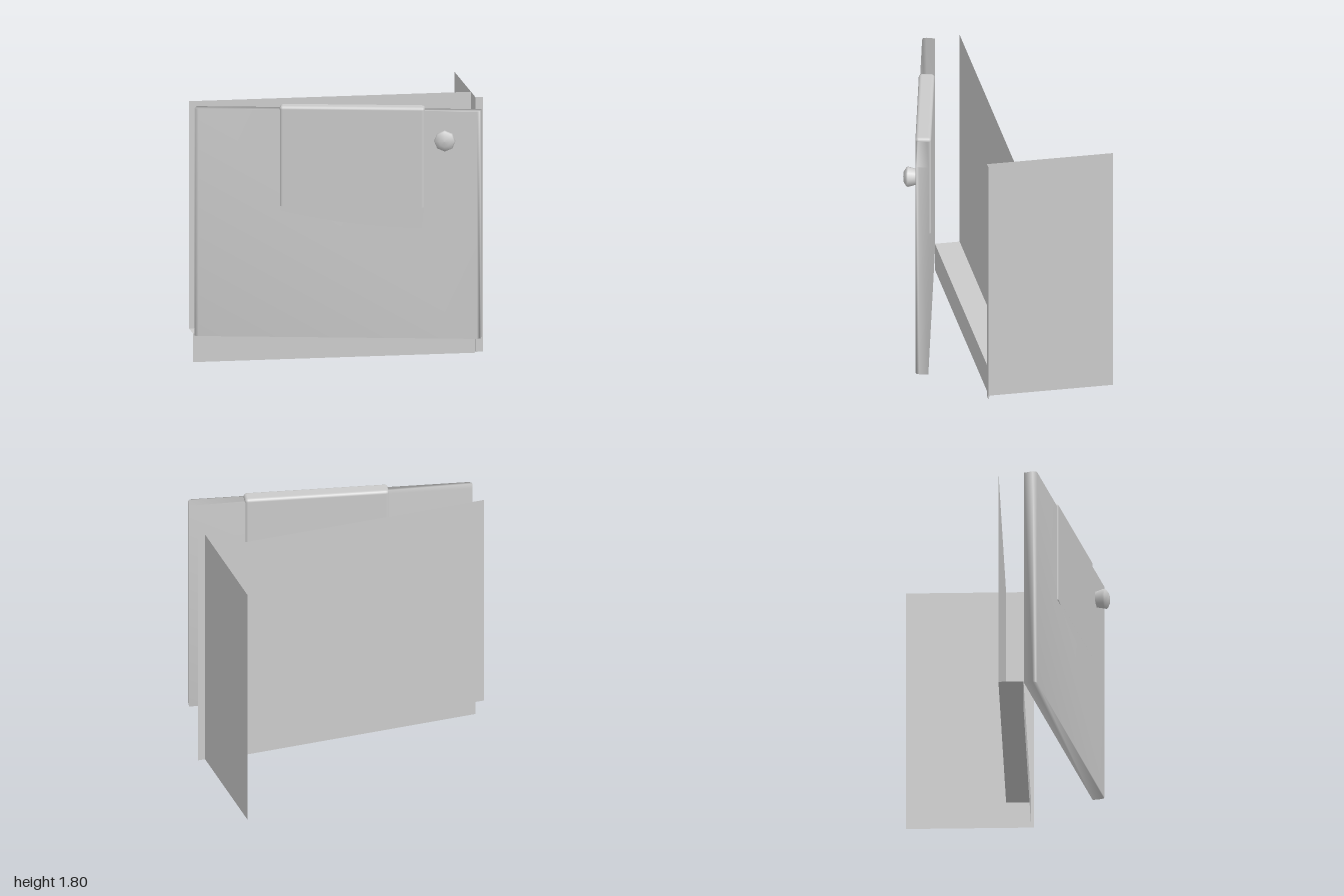
import * as THREE from 'three';
import { mergeVertices } from 'three/addons/utils/BufferGeometryUtils.js';
import { RoundedBoxGeometry } from 'three/addons/geometries/RoundedBoxGeometry.js';

const grey = new THREE.MeshStandardMaterial({ color: 0xcccccc, side: THREE.DoubleSide });

function addMesh(parent, name, geometry) {
  const mesh = new THREE.Mesh(geometry, grey);
  mesh.name = name;
  parent.add(mesh);
  return mesh;
}

// Share vertices so that normals run smoothly across the edges
function smooth(geometry) {
  geometry.deleteAttribute('normal');
  geometry.deleteAttribute('uv');
  const merged = mergeVertices(geometry, 1e-4);
  merged.computeVertexNormals();
  return merged;
}

// Thin upright panel facing +z
function panel(parent, name, x0, x1, y0, y1, z) {
  const mesh = addMesh(parent, name, new THREE.PlaneGeometry(x1 - x0, y1 - y0));
  mesh.position.set((x0 + x1) / 2, (y0 + y1) / 2, z);
  return mesh;
}

export function createModel() {
  const model = new THREE.Group();
  model.name = 'cupboardFront';

  // Cabinet: thin panels behind the door
  const cabinet = new THREE.Group();
  cabinet.name = 'cabinet';
  model.add(cabinet);
  const back = -0.016, front = 0.155, left = 0.948, edge = 0.173, rear = -0.7;
  panel(cabinet, 'backPanel', -1, left, 0.2, 1.78, back);
  panel(cabinet, 'plinth', -1, left, 0, 0.2, front);
  panel(cabinet, 'sideEdgeStrip', left, 1, 0.01, 1.78, edge);

  const shelf = addMesh(cabinet, 'bottomShelf', new THREE.PlaneGeometry(left + 1, front - back));
  shelf.rotation.x = -Math.PI / 2;
  shelf.position.set((left - 1) / 2, 0.2, (front + back) / 2);

  const side = addMesh(cabinet, 'sidePanel', new THREE.PlaneGeometry(edge - rear, 1.77));
  side.rotation.y = Math.PI / 2;
  side.position.set(left, 0.895, (edge + rear) / 2);

  // Door group, pivoted at the hinge and standing slightly open
  const door = new THREE.Group();
  door.name = 'openDoor';
  door.position.set(-0.976, 0, 0.158);
  door.rotation.y = -0.216;
  model.add(door);

  // Door leaf: plan outline with softened front corners, pulled upward
  const plan = new THREE.Shape([
    [0, 0], [1.943, 0], [1.943, 0.063], [1.936, 0.08], [1.918, 0.089],
    [0.017, 0.089], [-0.003, 0.082], [-0.01, 0.063],
  ].map(([x, z]) => new THREE.Vector2(x, -z)));
  const leaf = new THREE.ExtrudeGeometry(plan, { depth: 1.58, bevelEnabled: false });
  leaf.rotateX(-Math.PI / 2);
  addMesh(door, 'doorLeaf', smooth(leaf)).position.y = 0.2;

  // Towel body: rounded box over the door top, its lower edge made flat
  const top = 1.805, hem = 1.08;
  const cloth = new RoundedBoxGeometry(0.99, 0.78, 0.108, 2, 0.022);
  cloth.translate(1.065, top - 0.39, 0.044);
  const pos = cloth.attributes.position;
  for (let i = 0; i < pos.count; i++) {
    if (pos.getY(i) < hem) pos.setY(i, hem);
  }
  addMesh(door, 'towel', cloth);

  // Front flap of the towel with a sagging hem
  const flap = new THREE.Shape();
  flap.moveTo(0.575, hem + 0.03);
  flap.lineTo(0.575, hem);
  flap.quadraticCurveTo(1.02, 0.975, 1.542, 0.965);
  flap.lineTo(1.555, hem);
  flap.lineTo(1.555, hem + 0.03);
  addMesh(door, 'towelFlap', new THREE.ShapeGeometry(flap, 10)).position.z = 0.0975;

  // Eight-sided knob, flaring outward to a domed face
  const profile = [[0.055, 0.08], [0.073, 0.145], [0.066, 0.157], [0.038, 0.174], [0, 0.177]]
    .map(([r, h]) => new THREE.Vector2(r, h));
  const knob = addMesh(door, 'knob', new THREE.LatheGeometry(profile, 8));
  knob.rotation.x = Math.PI / 2;
  knob.position.set(1.7, 1.585, 0);

  return model;
}
